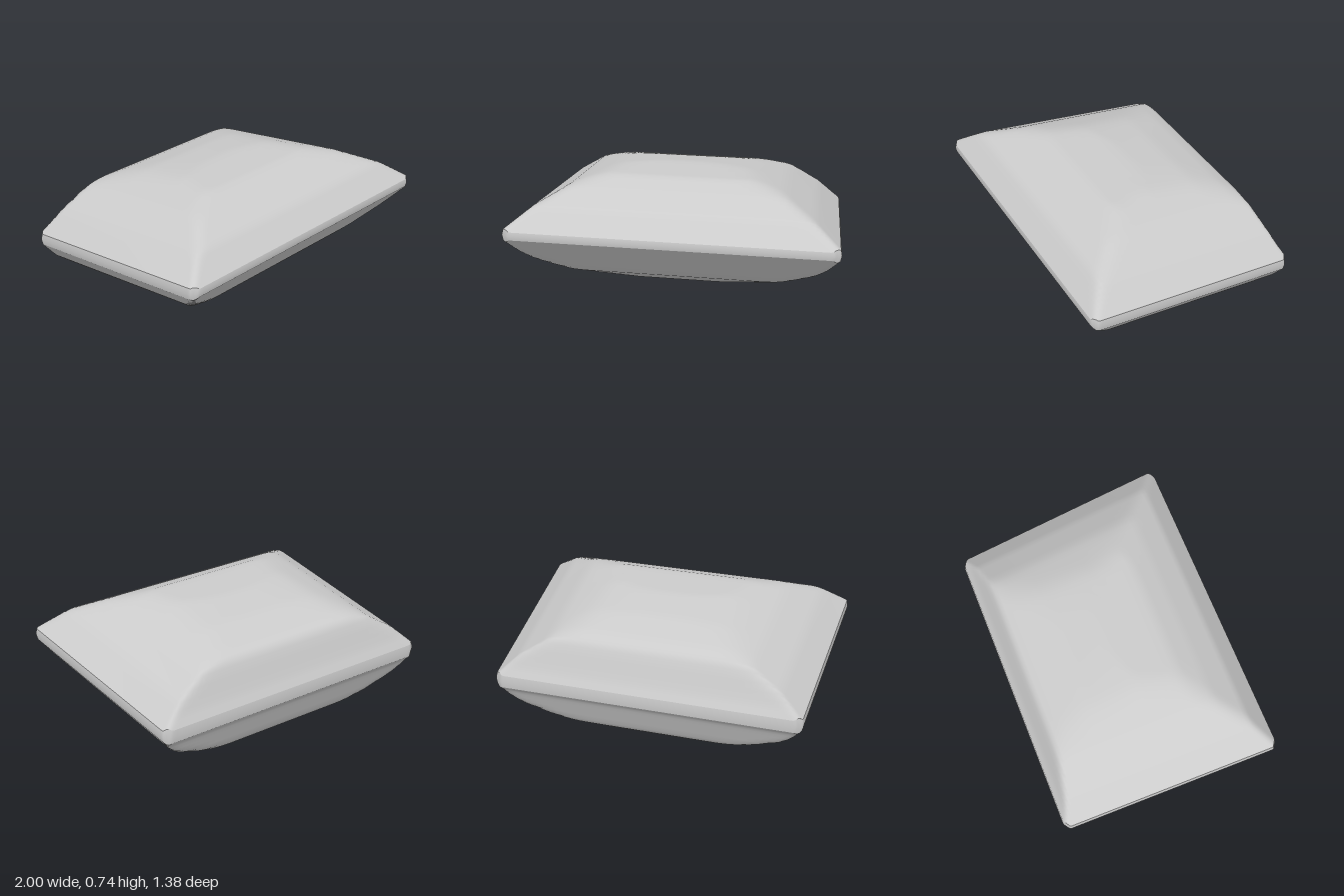
import * as THREE from 'three';

const lerp = THREE.MathUtils.lerp;

// Puff above / below the seam: [position from -1 to 1, height]
const TOP_Z = [[-1, .04], [-.955, .1], [-.86, .285], [-.73, .315], [-.46, .35], [0, .365], [.35, .335], [.58, .265], [.82, .165], [1, .025]];
const LOW_Z = [[-1, .04], [-.955, .08], [-.83, .28], [-.73, .335], [-.23, .375], [.07, .375], [.35, .345], [.68, .25], [1, .025]];
const TOP_X = [[0, .41], [.4, .355], [.65, .275], [.85, .16], [1, .035]];
const LOW_X = [[0, .42], [.33, .355], [.62, .275], [.86, .18], [.93, .125], [1, .035]];

function sample(points, t) {
  for (let i = 1; i < points.length; i++) {
    const [a, p] = points[i - 1], [b, q] = points[i];
    if (t <= b) return lerp(p, q, (t - a) / (b - a));
  }
  return points[points.length - 1][1];
}

function softMin(a, b, k = .04) {
  const h = Math.max(k - Math.abs(a - b), 0) / k;
  return Math.min(a, b) - h * h * k / 4;
}

// Point on the cushion; side is 1 for the top, -1 for the underside, 0 for the seam
function surfacePoint(u, v, side) {
  const cut = Math.max(0, Math.abs(u) + Math.abs(v) - 1.955) / 2;
  u -= Math.sign(u) * cut;
  v -= Math.sign(v) * cut;
  const s = (u + 1) / 2, t = (v + 1) / 2;
  const inset = side ? .993 : 1;
  const x = lerp(lerp(-.955, -1, t), lerp(.93, 1, t), s) * inset;
  const z = lerp(lerp(-.695, -.67, s), lerp(.67, .69, s), t) * inset;
  const seam = .385 + .11 * z;
  const puff = side > 0
    ? softMin(sample(TOP_X, Math.abs(u)), sample(TOP_Z, v))
    : softMin(sample(LOW_X, Math.abs(u)), sample(LOW_Z, v));
  const y = THREE.MathUtils.clamp(seam + side * Math.max(puff, .018), 0, .74);
  return new THREE.Vector3(x, y, z);
}

// Grid lines crowd towards the edges, where the fabric curves most
const spread = (t) => Math.sin(t * Math.PI / 2);
const SEGMENTS = 56;

function panel(side) {
  const geometry = new THREE.PlaneGeometry(2, 2, SEGMENTS, SEGMENTS);
  geometry.rotateX(-side * Math.PI / 2);
  const pos = geometry.attributes.position;
  for (let i = 0; i < pos.count; i++) {
    const p = surfacePoint(spread(pos.getX(i)), spread(pos.getZ(i)), side);
    pos.setXYZ(i, p.x, p.y, p.z);
  }
  geometry.computeVertexNormals();
  return geometry;
}

// Narrow rounded band joining the two panels
function seamBand() {
  const outline = [];
  const corners = [[-1, 1], [1, 1], [1, -1], [-1, -1]];
  corners.forEach(([u0, v0], c) => {
    const [u1, v1] = corners[(c + 1) % 4];
    for (let i = 0; i < SEGMENTS; i++) {
      const t = (spread(i / SEGMENTS * 2 - 1) + 1) / 2;
      outline.push([lerp(u0, u1, t), lerp(v0, v1, t)]);
    }
  });
  const vertices = [], index = [], n = outline.length;
  [-1, 0, 1].forEach((side, row) => {
    outline.forEach(([u, v], i) => {
      vertices.push(...surfacePoint(u, v, side).toArray());
      if (row < 2) {
        const a = row * n + i, b = row * n + (i + 1) % n;
        index.push(a, b, b + n, a, b + n, a + n);
      }
    });
  });
  const geometry = new THREE.BufferGeometry();
  geometry.setAttribute('position', new THREE.Float32BufferAttribute(vertices, 3));
  geometry.setIndex(index);
  geometry.computeVertexNormals();
  return geometry;
}

export function createModel() {
  const group = new THREE.Group();
  group.name = 'cushion';
  const material = new THREE.MeshStandardMaterial({ color: 0xcccccc });
  const add = (name, geometry) => {
    const mesh = new THREE.Mesh(geometry, material);
    mesh.name = name;
    group.add(mesh);
  };
  add('topPanel', panel(1));
  add('bottomPanel', panel(-1));
  add('seamBand', seamBand());
  return group;
}
